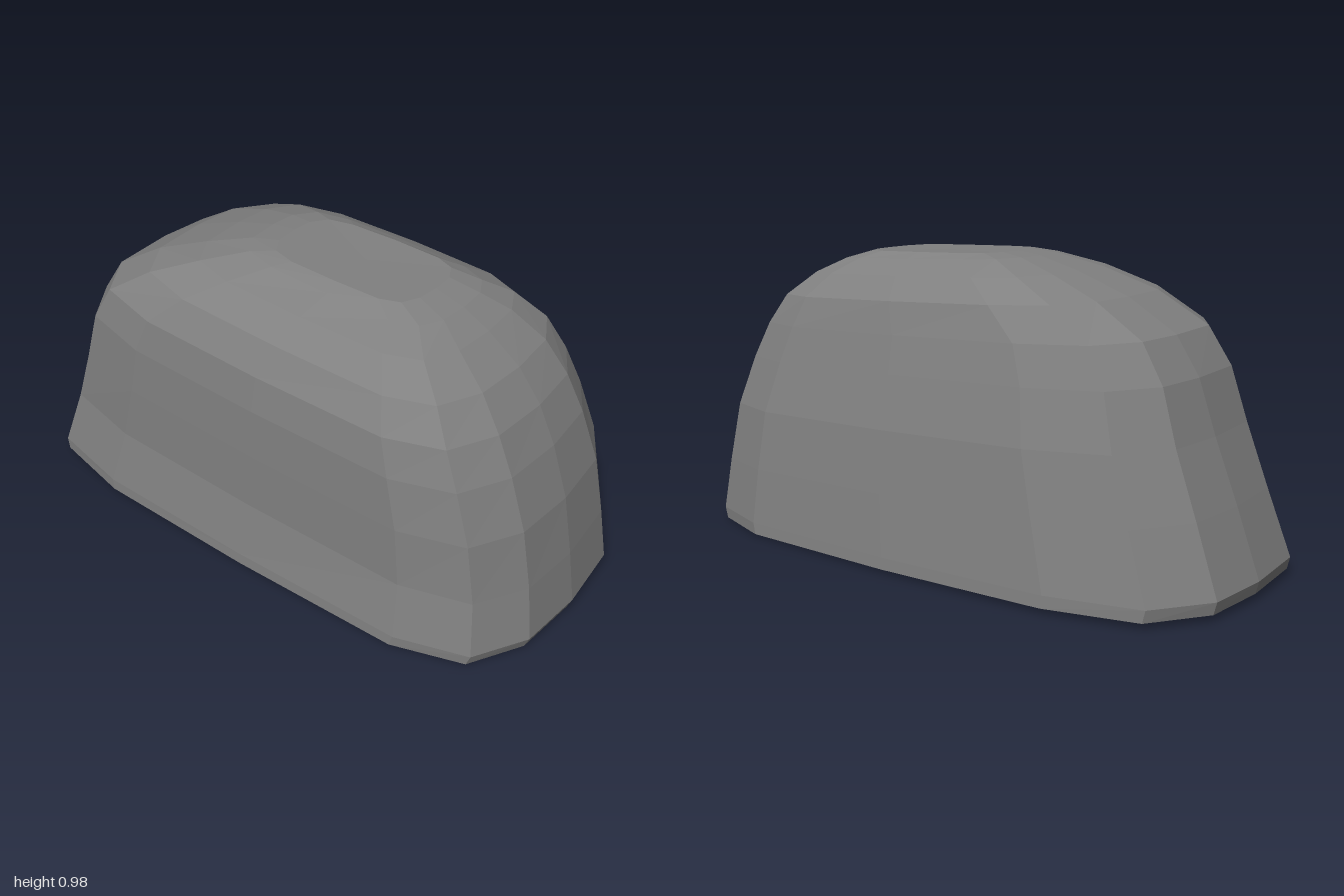
import * as THREE from 'three';

// Normalised plan outline: along the front from left to right, then back again
const OUTLINE = [
  [-1, 0], [-0.98, 0.52], [-0.85, 0.86], [-0.55, 0.985], [0.05, 1], [0.65, 0.97], [0.88, 0.81], [0.98, 0.46],
  [1, 0], [0.98, -0.5], [0.88, -0.83], [0.65, -0.98], [0.05, -1], [-0.55, -0.95], [-0.85, -0.8], [-0.98, -0.45],
];

// Tilted rings, bottom to top: x min, y there, x max, y there, z front, z back
const RINGS = [
  [-0.99, 0.025, 0.985, 0.003, 0.499, -0.5],
  [-1.0, 0.065, 1.0, 0.04, 0.497, -0.497],
  [-0.92, 0.28, 0.97, 0.22, 0.465, -0.475],
  [-0.84, 0.48, 0.93, 0.42, 0.463, -0.45],
  [-0.78, 0.65, 0.87, 0.59, 0.457, -0.41],
  [-0.70, 0.77, 0.81, 0.71, 0.44, -0.38],
  [-0.53, 0.87, 0.73, 0.81, 0.39, -0.35],
  [-0.35, 0.935, 0.62, 0.89, 0.31, -0.285],
  [-0.20, 0.975, 0.53, 0.937, 0.21, -0.2],
  [-0.11, 0.985, 0.43, 0.966, 0.165, -0.155],
];

export function createModel() {
  const n = OUTLINE.length;
  const positions = [], index = [];

  // Place the outline on every ring
  for (const [x0, y0, x1, y1, front, back] of RINGS) {
    for (const [u, v] of OUTLINE) {
      const t = (u + 1) / 2;
      positions.push(
        THREE.MathUtils.lerp(x0, x1, t),
        THREE.MathUtils.lerp(y0, y1, t),
        v >= 0 ? v * front : -v * back,
      );
    }
  }

  // Skin between neighbouring rings
  const top = (RINGS.length - 1) * n;
  for (let r = 0; r < top; r += n) {
    for (let i = 0; i < n; i++) {
      const a = r + i, b = r + (i + 1) % n;
      index.push(a, b, b + n, a, b + n, a + n);
    }
  }

  // Flat underside and slightly dipped crown
  const under = top + n, crown = under + 1;
  positions.push(0, 0.014, 0, 0.17, 0.973, 0);
  for (let i = 0; i < n; i++) {
    const j = (i + 1) % n;
    index.push(under, j, i, crown, top + i, top + j);
  }

  const geometry = new THREE.BufferGeometry();
  geometry.setAttribute('position', new THREE.Float32BufferAttribute(positions, 3));
  geometry.setIndex(index);
  geometry.computeVertexNormals();

  const body = new THREE.Mesh(geometry, new THREE.MeshStandardMaterial({ color: 0x808080, flatShading: true }));
  body.name = 'roundedBody';
  const group = new THREE.Group();
  group.name = 'boulder';
  group.add(body);
  return group;
}
